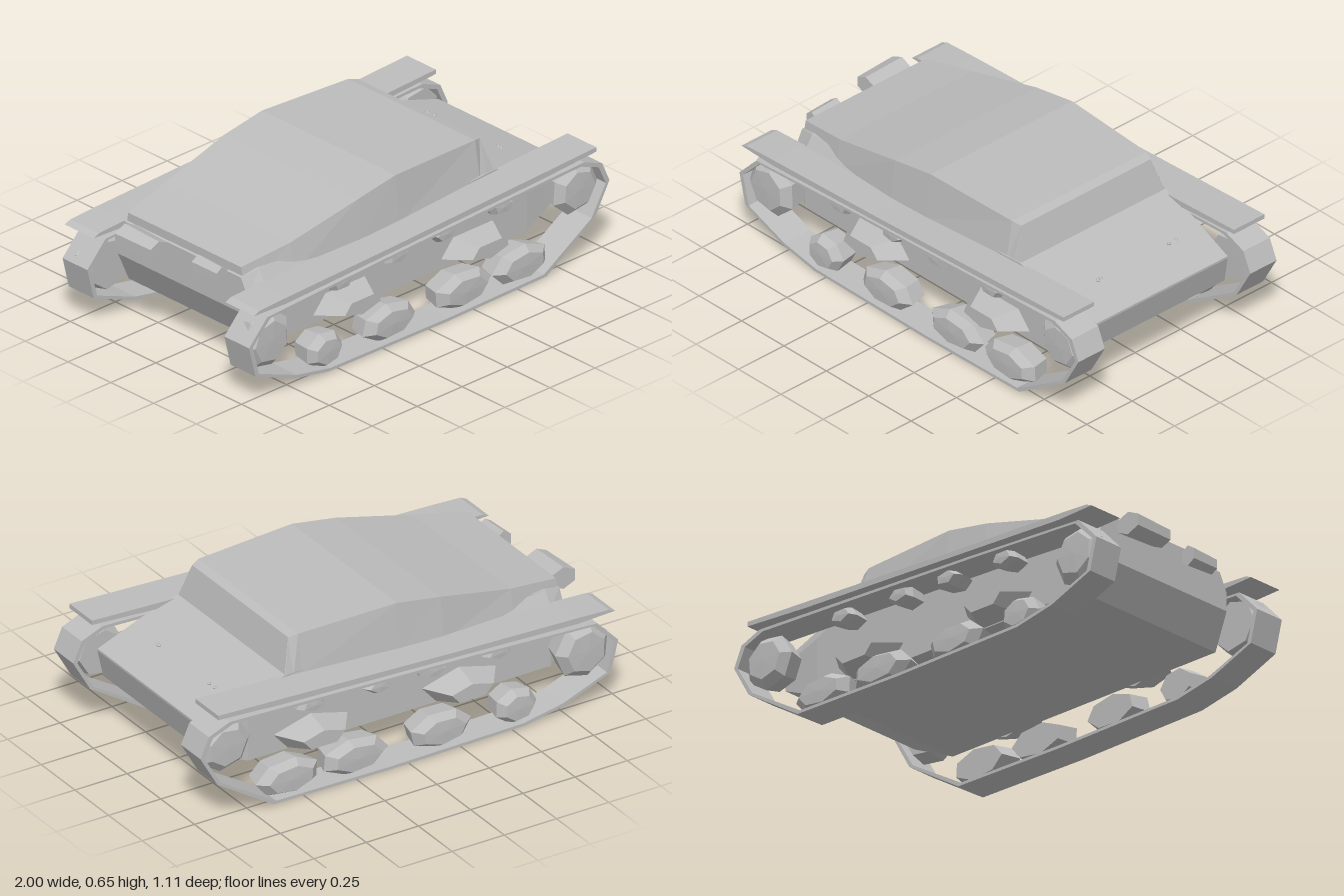
import * as THREE from 'three';

const steel = new THREE.MeshStandardMaterial({ color: 0xbcbcbc, flatShading: true, side: THREE.DoubleSide });
steel.name = 'grey steel';

function part(name, geometry, parent) {
  const mesh = new THREE.Mesh(geometry, steel);
  mesh.name = name;
  parent.add(mesh);
  return mesh;
}

// Skin over mirrored cross-sections along x; each half runs from top to bottom as [z, y]
function loft(sections) {
  const rings = sections.map(([x, half]) => [
    ...half.slice().reverse().map(([z, y]) => [x, y, -z]),
    ...half.map(([z, y]) => [x, y, z]),
  ]);
  const n = rings[0].length, last = (rings.length - 1) * n, index = [];
  for (let i = 0; i < rings.length - 1; i++) {
    for (let j = 0; j < n; j++) {
      const a = i * n + j, b = i * n + (j + 1) % n;
      index.push(a, b, a + n, b, b + n, a + n);
    }
  }
  for (let j = 1; j < n - 1; j++) index.push(0, j + 1, j, last, last + j, last + j + 1);
  const g = new THREE.BufferGeometry();
  g.setAttribute('position', new THREE.Float32BufferAttribute(rings.flat(2), 3));
  g.setIndex(index);
  const flat = g.toNonIndexed();
  flat.computeVertexNormals();
  return flat;
}

// Side outline in x, y extruded across the z range
function slab(outline, z0, z1, hole) {
  const shape = new THREE.Shape(outline.map(p => new THREE.Vector2(...p)));
  if (hole) shape.holes.push(new THREE.Path(hole.map(p => new THREE.Vector2(...p))));
  return new THREE.ExtrudeGeometry(shape, { depth: z1 - z0, bevelEnabled: false }).translate(0, 0, z0);
}

// Faceted wheel with a shallow hub, facing outwards on the given side
function wheel(name, parent, side, x, y, rx, ry, sides, half = 0.06) {
  const g = new THREE.LatheGeometry([
    new THREE.Vector2(0, -half), new THREE.Vector2(0.85, -half),
    new THREE.Vector2(1, half * 0.4), new THREE.Vector2(0.7, half), new THREE.Vector2(0, half * 1.05),
  ], sides);
  g.rotateX(side * Math.PI / 2).rotateZ(x * 7).scale(rx, ry, 1);
  part(name, g, parent).position.set(x, y, side * 0.47);
}

export function createModel() {
  const model = new THREE.Group();
  model.name = 'trackedVehicle';

  // Lower hull with sloped front deck and undercut nose
  part('hull', loft([
    [-0.85, [[0.34, 0.46], [0.38, 0.38], [0.38, 0.3]]],
    [-0.77, [[0.36, 0.48], [0.4, 0.42], [0.4, 0.15]]],
    [0.5, [[0.4, 0.49], [0.4, 0.44], [0.4, 0.15]]],
    [0.68, [[0.39, 0.442], [0.4, 0.4], [0.4, 0.15]]],
    [0.87, [[0.365, 0.391], [0.38, 0.35], [0.38, 0.235]]],
    [0.91, [[0.36, 0.38], [0.36, 0.375], [0.36, 0.37]]],
  ]), model);

  // Upper casemate with slab sides, tapering to the rear
  part('superstructure', loft([
    [-0.84, [[0.33, 0.5], [0.35, 0.38]]],
    [-0.6, [[0.365, 0.54], [0.39, 0.41]]],
    [-0.25, [[0.39, 0.62], [0.415, 0.43]]],
    [-0.04, [[0.39, 0.655], [0.415, 0.45]]],
    [0.42, [[0.37, 0.642], [0.4, 0.47]]],
    [0.46, [[0.355, 0.632], [0.4, 0.48]]],
    [0.5, [[0.395, 0.49], [0.4, 0.48]]],
  ]), model);

  // Rear fittings
  for (const [x, y, z, sx, sy, sz] of [
    [-0.915, 0.45, -0.17, 0.065, 0.05, 0.1], [-0.88, 0.45, 0.19, 0.04, 0.045, 0.07],
  ]) {
    const g = new THREE.CylinderGeometry(0.85, 1, 2, 6).rotateX(Math.PI / 2).scale(sx, sy, sz);
    part('rearExhaust', g, model).position.set(x, y, z);
  }

  // Small studs on the front deck
  for (const z of [-0.24, -0.2, 0.175, 0.19]) {
    part('deckStud', new THREE.OctahedronGeometry(0.011), model).position.set(0.735, 0.428, z);
  }

  const belt = [
    [-1, 0.27], [-0.965, 0.13], [-0.75, 0.045], [-0.56, 0.008], [0.1, 0], [0.65, 0.008],
    [0.92, 0.18], [1, 0.32], [0.96, 0.41], [0.86, 0.45], [-0.3, 0.405], [-0.9, 0.375],
  ];
  const inner = belt.map(([x, y]) => [x * 0.98, 0.22 + (y - 0.22) * 0.94]);

  for (const side of [1, -1]) {
    const running = new THREE.Group();
    running.name = side > 0 ? 'nearRunningGear' : 'farRunningGear';
    model.add(running);
    const across = (a, b) => side > 0 ? [a, b] : [-b, -a];

    // Track loop
    part('track', slab(belt, ...across(0.4, 0.545), inner), running);

    // Thin track guard rising to the front, overhanging at both ends
    part('trackGuard', slab([
      [-0.98, 0.412], [-0.8, 0.405], [0.6, 0.46], [0.92, 0.48],
      [0.92, 0.5], [-0.2, 0.452], [-0.8, 0.432], [-0.95, 0.425],
    ], ...across(0.385, 0.553)), running);

    // End wheels
    wheel('rearIdler', running, side, -0.86, 0.245, 0.13, 0.13, 7);
    wheel('driveSprocket', running, side, 0.855, 0.32, 0.125, 0.118, 7, 0.055);

    // Road wheels
    for (const [x, rx] of [[-0.54, 0.1], [-0.18, 0.15], [0.23, 0.16], [0.55, 0.155]]) {
      wheel('roadWheel', running, side, x, 0.085, rx, 0.08, 7);
    }

    // Suspension bogies between wheel pairs, narrowing outwards
    for (const x of [-0.33, 0.38]) {
      const g = new THREE.CylinderGeometry(0.55, 1, 0.11, 5).rotateX(side * Math.PI / 2).scale(0.19, 0.07, 1);
      part('bogie', g, running).position.set(x, 0.21, side * 0.45);
    }

    // Return rollers
    for (const x of [-0.45, -0.14, 0.12, 0.44]) {
      wheel('returnRoller', running, side, x, 0.375 + x * 0.03, 0.07, 0.04, 5, 0.05);
    }
  }
  return model;
}
